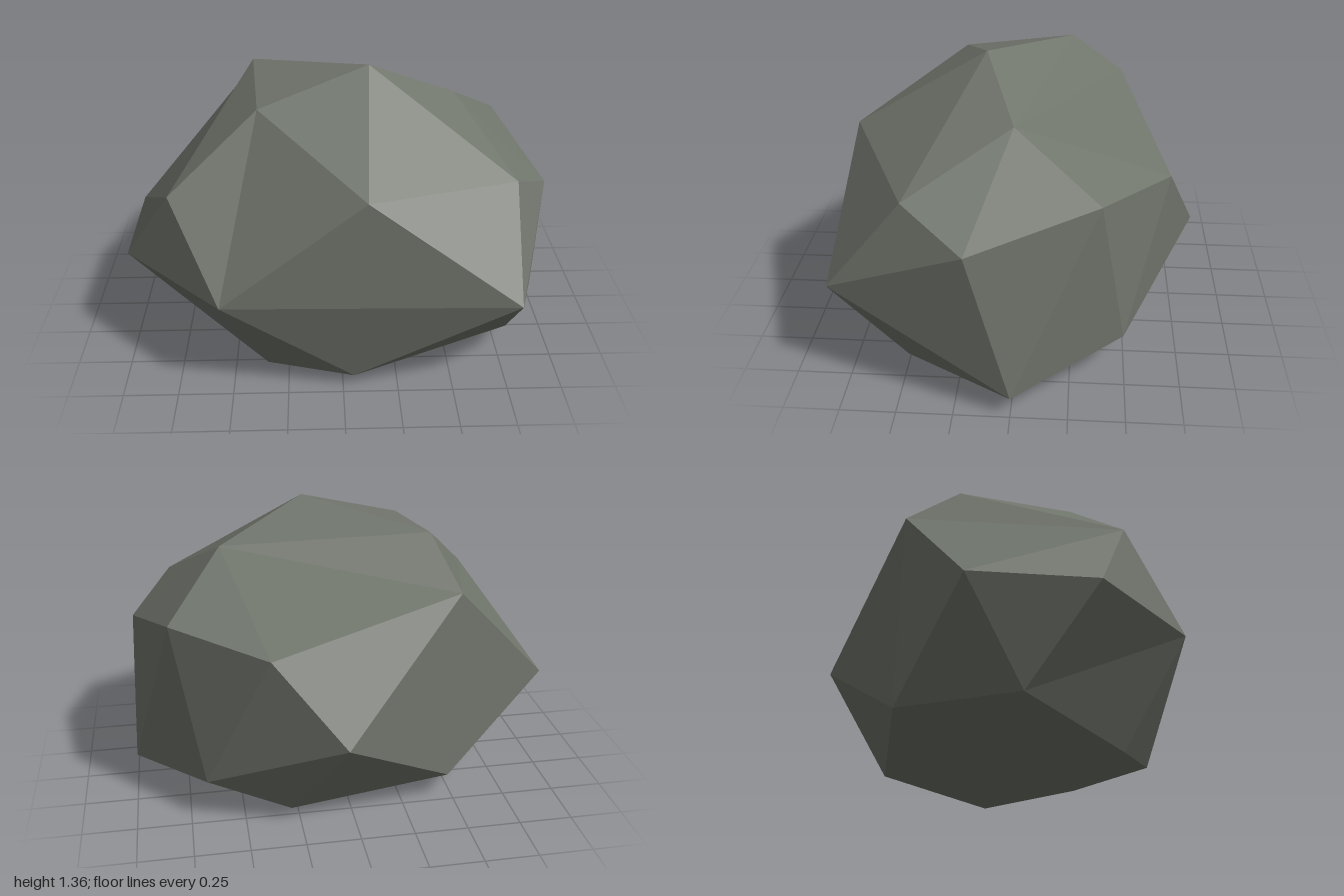
import * as THREE from 'three';

// Corner points of the boulder
const corners = {
  // crown
  A: [0.13, 1.36, 0.16], B: [-0.41, 1.26, -0.22], C: [0.54, 1.17, 0.01], L: [-0.37, 1.21, 0.31],
  W: [-0.5, 1.05, -0.47],
  // shoulder
  D: [0.10, 0.98, 0.78], E: [0.78, 0.92, 0.47], F: [0.97, 0.78, 0.19], J: [0.80, 0.94, -0.37],
  S: [0.38, 0.88, -0.68], M: [-0.77, 0.87, 0.48],
  // waist
  G: [0.77, 0.49, 0.82], K: [-0.54, 0.48, 0.78], N: [-1, 0.5, 0.33], O: [-1, 0.51, -0.22],
  T: [0.07, 0.5, -0.82],
  // base
  H: [0.78, 0.15, 0.47], I: [1, 0.10, 0], V: [0.67, 0.21, -0.49], U: [0.29, 0.06, -0.54],
  Y: [-0.47, 0.13, -0.49], R: [-0.83, 0.08, 0.03], Q: [-0.35, 0, 0.52], P: [0.05, 0.06, 0.71],
};

// Facets as fans: first letter is the hub, the rest its rim, counter-clockwise from outside
const fans = [
  'ALDECBL', 'CEFJSWB',            // crown
  'DLKGE', 'MBWONKLB', 'SJVTW',    // shoulder
  'KNRQPG', 'GPHIFE', 'IVJF',      // front and +x side
  'TVUYW', 'WYO', 'OYRN',          // back and -x side
  'UVIHPQRY',                      // underside
];

function facetedGeometry() {
  const positions = [];
  for (const [hub, ...rim] of fans) {
    for (let i = 0; i + 1 < rim.length; i++) {
      positions.push(...corners[hub], ...corners[rim[i]], ...corners[rim[i + 1]]);
    }
  }
  const geometry = new THREE.BufferGeometry();
  geometry.setAttribute('position', new THREE.Float32BufferAttribute(positions, 3));
  geometry.computeVertexNormals(); // unshared corners give flat facets
  return geometry;
}

export function createModel() {
  const stone = new THREE.MeshStandardMaterial({ color: 0x70756c });
  stone.name = 'greyStone';
  stone.flatShading = true;

  const boulder = new THREE.Mesh(facetedGeometry(), stone);
  boulder.name = 'boulder';

  const group = new THREE.Group();
  group.name = 'rock';
  group.add(boulder);
  return group;
}
